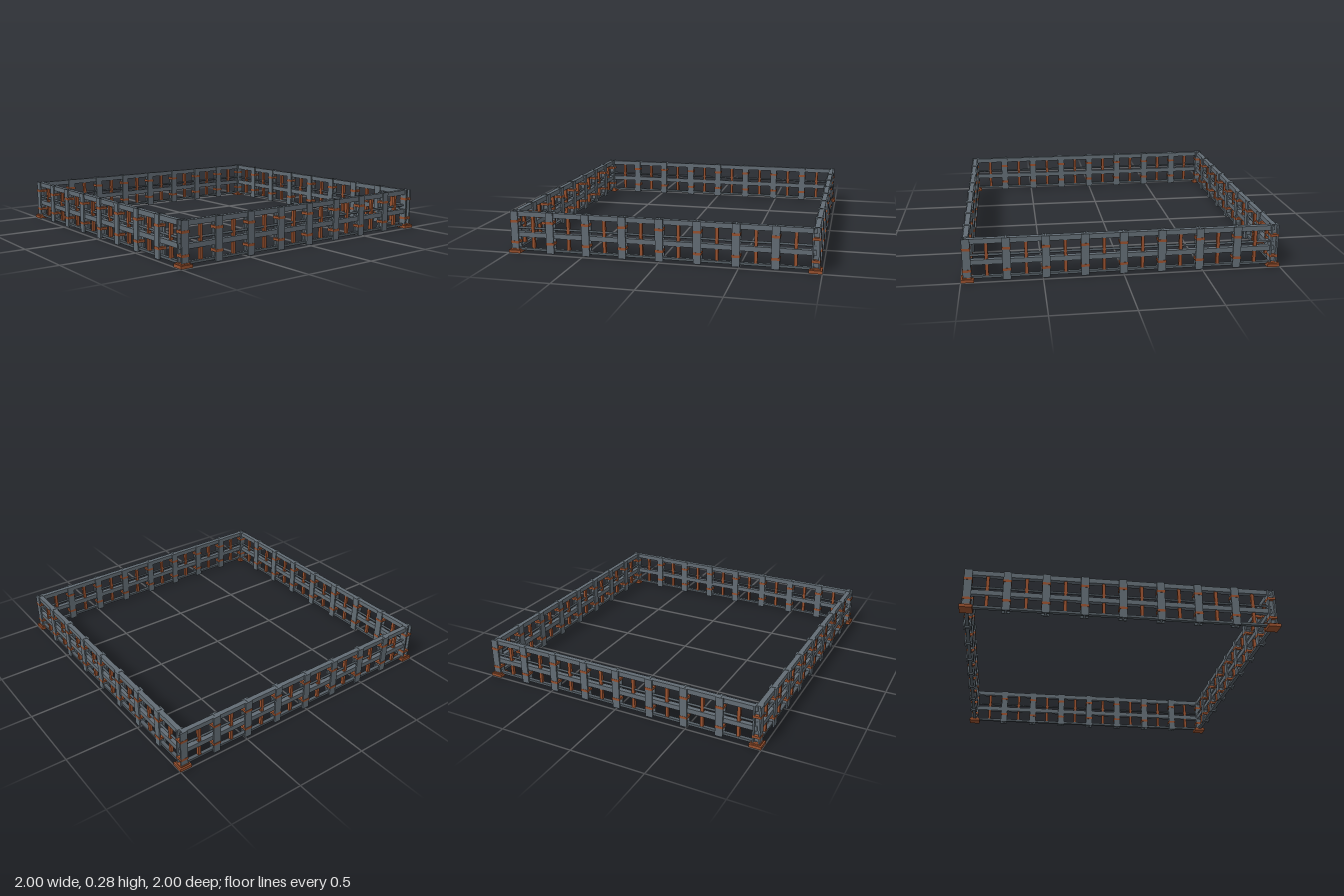
import * as THREE from 'three';

const steel = new THREE.MeshStandardMaterial({ color: 0x626c74 });
steel.name = 'steel grey';
const darkSteel = new THREE.MeshStandardMaterial({ color: 0x535c63 });
darkSteel.name = 'dark steel';
const rust = new THREE.MeshStandardMaterial({ color: 0x97502e });
rust.name = 'rust';

const HALF = 0.96;   // distance from the centre to each fence line
const STEP = 0.24;   // post spacing

function box(parent, name, mat, w, h, d, x, y, z) {
  const mesh = new THREE.Mesh(new THREE.BoxGeometry(w, h, d), mat);
  mesh.name = name;
  mesh.position.set(x, y, z);
  parent.add(mesh);
  return mesh;
}

// Upright I-beam, flanges facing out and in, with two rust straps
function makePost() {
  const post = new THREE.Group();
  post.name = 'post';
  const s = new THREE.Shape();
  const a = 0.025, f = 0.015, w = 0.006;
  [[-a, -a], [a, -a], [a, -f], [w, -f], [w, f], [a, f], [a, a], [-a, a], [-a, f], [-w, f], [-w, -f], [-a, -f]]
    .forEach(([x, y], i) => (i ? s.lineTo(x, y) : s.moveTo(x, y)));
  const geo = new THREE.ExtrudeGeometry(s, { depth: 0.271, bevelEnabled: false });
  geo.rotateX(-Math.PI / 2);
  const beam = new THREE.Mesh(geo, steel);
  beam.name = 'postBeam';
  beam.position.y = 0.004;
  post.add(beam);
  for (const y of [0.07, 0.208]) box(post, 'strap', rust, 0.054, 0.016, 0.053, 0, y, 0);
  return post;
}

// One side of the fence along x, with the corner post at its -x end
function makeSide() {
  const side = new THREE.Group();
  side.name = 'fenceSide';
  const len = 2 * HALF;
  box(side, 'topRail', steel, len, 0.032, 0.032, 0, 0.256, 0);
  box(side, 'middleRail', steel, len, 0.032, 0.032, 0, 0.121, 0);
  box(side, 'bottomRail', darkSteel, len, 0.016, 0.024, 0, 0.023, 0);
  const pipe = new THREE.Mesh(new THREE.CylinderGeometry(0.008, 0.008, len, 8), darkSteel);
  pipe.name = 'pipeRail';
  pipe.rotation.z = Math.PI / 2;
  pipe.position.y = 0.163;
  side.add(pipe);

  for (let i = 0; i < 8; i++) {
    const x = -HALF + i * STEP;
    const post = makePost();
    post.position.x = x;
    side.add(post);
    box(side, 'rustBar', rust, 0.02, 0.22, 0.02, x + STEP / 2, 0.135, 0);
  }

  // Corner foot plate
  box(side, 'footPlate', rust, 0.08, 0.02, 0.08, -HALF, 0.01, 0);
  box(side, 'footCollar', rust, 0.06, 0.008, 0.06, -HALF, 0.024, 0);
  return side;
}

export function createModel() {
  const model = new THREE.Group();
  model.name = 'squareFence';
  for (let i = 0; i < 4; i++) {
    const side = makeSide();
    const angle = (i * Math.PI) / 2;
    side.rotation.y = angle;
    side.position.set(HALF * Math.sin(angle), 0, HALF * Math.cos(angle));
    model.add(side);
  }
  return model;
}
